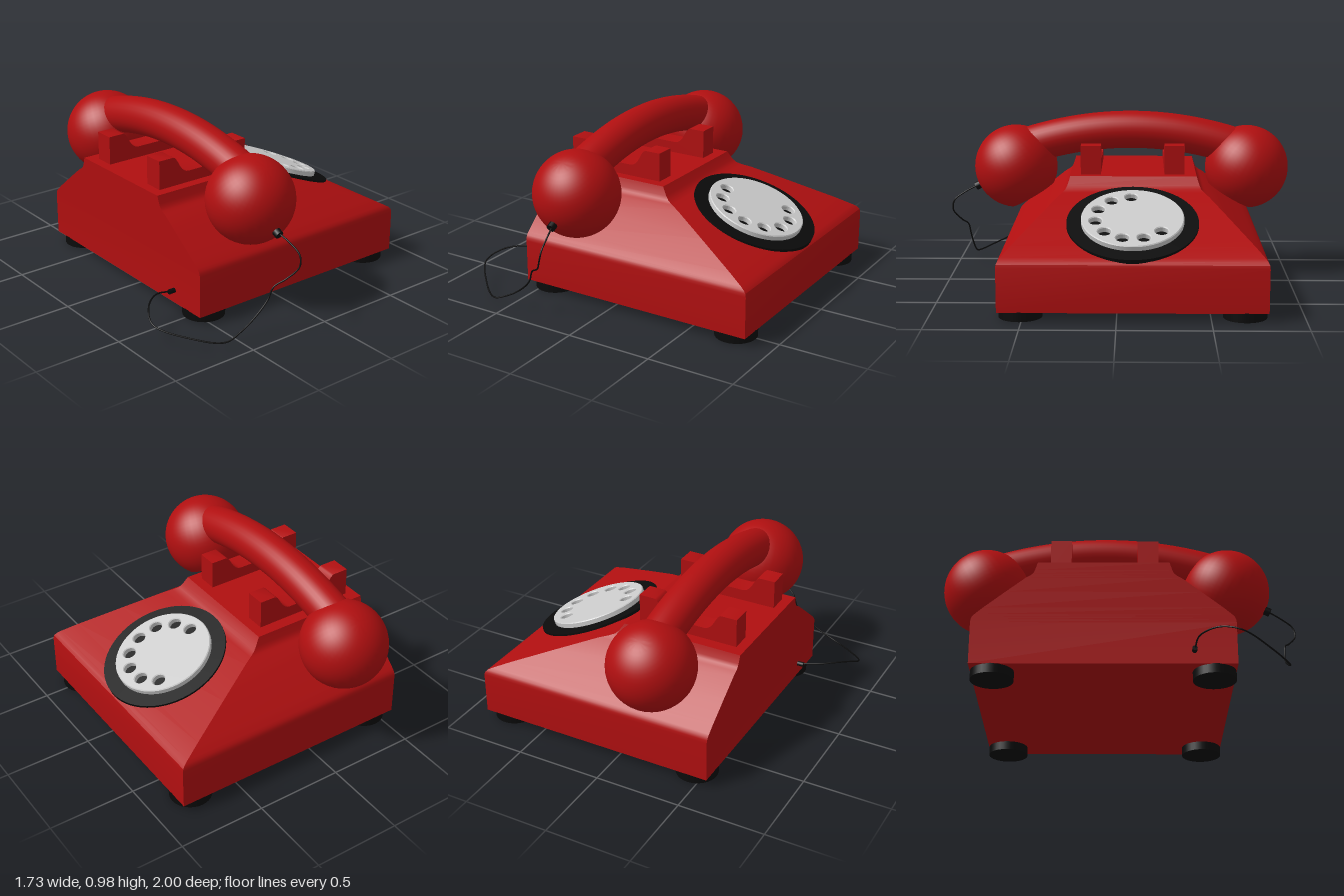
import * as THREE from 'three';
import { toCreasedNormals } from 'three/addons/utils/BufferGeometryUtils.js';

const red = new THREE.MeshStandardMaterial({ color: 0xb00f10 });
const black = new THREE.MeshStandardMaterial({ color: 0x0b0b0b });
const grey = new THREE.MeshStandardMaterial({ color: 0xcccccc });

const BODY_Z = -0.085; // middle of the housing
const HANDLE_X = -0.21; // line of the handset
const HANDLE_Z = -0.07;

function add(parent, name, geometry, material, x = 0, y = 0, z = 0) {
  const mesh = new THREE.Mesh(geometry, material);
  mesh.name = name;
  mesh.position.set(x, y, z);
  parent.add(mesh);
  return mesh;
}

// Housing: rectangles stacked in y; t = 1 is the full base, t = 0 the small top deck
function housingGeometry() {
  const levels = [
    [0.05, 1], [0.29, 1], [0.308, 0.994], [0.323, 0.975], [0.337, 0.94], [0.377, 0.81],
    [0.47, 0.48], [0.553, 0.18], [0.566, 0.115], [0.58, 0.067], [0.6, 0.04], [0.645, 0],
  ];
  const points = [], index = [];
  for (const [y, t] of levels) {
    const back = -0.563 - 0.014 * Math.max(0, (y - 0.29) / 0.355);
    const front = 0.135 + 0.727 * t;
    const half = 0.36 + 0.355 * t;
    points.push(back, y, half, front, y, half, front, y, -half, back, y, -half);
  }
  for (let i = 0; i < levels.length - 1; i++) {
    for (let j = 0; j < 4; j++) {
      const a = i * 4 + j, b = i * 4 + (j + 1) % 4;
      index.push(a, b, b + 4, a, b + 4, a + 4);
    }
  }
  const top = (levels.length - 1) * 4;
  index.push(0, 2, 1, 0, 3, 2, top, top + 1, top + 2, top, top + 2, top + 3);
  const g = new THREE.BufferGeometry();
  g.setAttribute('position', new THREE.Float32BufferAttribute(points, 3));
  g.setIndex(index);
  return toCreasedNormals(g, 0.5);
}

// Cradle rail with an upright at each end and a curved saddle between
function cradleGeometry() {
  const s = new THREE.Shape();
  s.moveTo(-0.52, 0.63);
  s.lineTo(0.075, 0.63);
  s.lineTo(0.075, 0.81);
  s.lineTo(-0.02, 0.81);
  s.bezierCurveTo(-0.055, 0.8, -0.06, 0.715, -0.12, 0.71);
  s.lineTo(-0.325, 0.71);
  s.bezierCurveTo(-0.385, 0.715, -0.39, 0.8, -0.425, 0.81);
  s.lineTo(-0.52, 0.81);
  const g = new THREE.ExtrudeGeometry(s, { depth: 0.115, bevelEnabled: false, curveSegments: 10 });
  g.translate(0, 0, -0.0575);
  return toCreasedNormals(g, 0.6);
}

// Finger wheel: a disc with eight finger holes
function wheelGeometry() {
  const bevel = 0.005;
  const s = new THREE.Shape();
  s.absarc(0, 0, 0.28 - bevel, 0, Math.PI * 2);
  for (let i = 0; i < 8; i++) {
    const a = THREE.MathUtils.degToRad(-50 + 32.5 * i);
    const hole = new THREE.Path();
    hole.absarc(0.203 * Math.cos(a), -0.203 * Math.sin(a), 0.036 + bevel, 0, Math.PI * 2, true);
    s.holes.push(hole);
  }
  const g = new THREE.ExtrudeGeometry(s, {
    depth: 0.03 - bevel, bevelThickness: bevel, bevelSize: bevel, bevelSegments: 1, curveSegments: 32,
  });
  g.rotateX(-Math.PI / 2);
  return toCreasedNormals(g, 0.5);
}

// Earpiece: a ball with its lower end sliced flat
function earpieceGeometry() {
  const r = 0.245, cut = Math.acos(0.195 / r), profile = [new THREE.Vector2(0, -0.195)];
  for (let i = 0; i <= 24; i++) {
    const a = cut + (Math.PI - cut) * i / 24;
    profile.push(new THREE.Vector2(r * Math.sin(a), -r * Math.cos(a)));
  }
  return toCreasedNormals(new THREE.LatheGeometry(profile, 40), 0.5);
}

export function createModel() {
  const model = new THREE.Group();
  model.name = 'rotaryTelephone';

  add(model, 'housing', housingGeometry(), red, 0, 0, BODY_Z);

  // Feet and cradles
  const footGeometry = new THREE.CylinderGeometry(0.118, 0.118, 0.052, 32);
  for (const side of [1, -1]) {
    for (const x of [-0.447, 0.745]) {
      add(model, 'foot', footGeometry, black, x, 0.026, BODY_Z + side * 0.597);
    }
    add(model, 'cradle', cradleGeometry(), red, 0, 0, -0.08 + side * 0.24);
  }

  // Dial lying on the sloping front
  const dial = new THREE.Group();
  dial.name = 'dial';
  dial.position.set(0.525, 0.466, -0.083);
  dial.rotation.z = THREE.MathUtils.degToRad(-21);
  add(dial, 'dialPlate', new THREE.CylinderGeometry(0.36, 0.36, 0.034, 64), black, 0, -0.017, 0);
  add(dial, 'fingerWheel', wheelGeometry(), grey, 0, 0.001, 0);
  model.add(dial);

  // Handset: arched grip between two balls
  const handset = new THREE.Group();
  handset.name = 'handset';
  handset.position.set(HANDLE_X, 0, HANDLE_Z);
  const arch = [];
  for (let i = -6; i <= 6; i++) {
    const z = i * 0.11;
    arch.push(new THREE.Vector3(0, 0.865 - 0.26 * z * z, z));
  }
  add(handset, 'grip', new THREE.TubeGeometry(new THREE.CatmullRomCurve3(arch), 40, 0.11, 32), red);
  for (const side of [1, -1]) {
    const ball = add(handset, 'earpiece', earpieceGeometry(), red, 0, 0.645, side * 0.684);
    ball.rotation.x = side * Math.PI / 6;
  }
  model.add(handset);

  // Cord from the handset round to the back of the housing
  const path = [
    [-0.21, 0.53, 0.84], [-0.19, 0.49, 0.92], [-0.18, 0.44, 0.985], [-0.19, 0.38, 0.995],
    [-0.24, 0.31, 0.95], [-0.3, 0.27, 0.92], [-0.33, 0.2, 0.91], [-0.4, 0.13, 0.905],
    [-0.5, 0.07, 0.905], [-0.6, 0.033, 0.895], [-0.74, 0.055, 0.79], [-0.865, 0.105, 0.63],
    [-0.82, 0.145, 0.52], [-0.7, 0.15, 0.42], [-0.58, 0.125, 0.4],
  ].map((p) => new THREE.Vector3(...p));
  add(model, 'cord', new THREE.TubeGeometry(new THREE.CatmullRomCurve3(path), 140, 0.0045, 8), black);

  // Cord sockets
  const upper = add(model, 'handsetSocket', new THREE.CylinderGeometry(0.024, 0.024, 0.05, 16), black, -0.212, 0.53, 0.835);
  upper.rotation.x = Math.PI / 2 + 0.45;
  const lower = add(model, 'housingSocket', new THREE.CylinderGeometry(0.014, 0.014, 0.05, 16), black, -0.575, 0.125, 0.4);
  lower.rotation.z = Math.PI / 2;

  return model;
}
